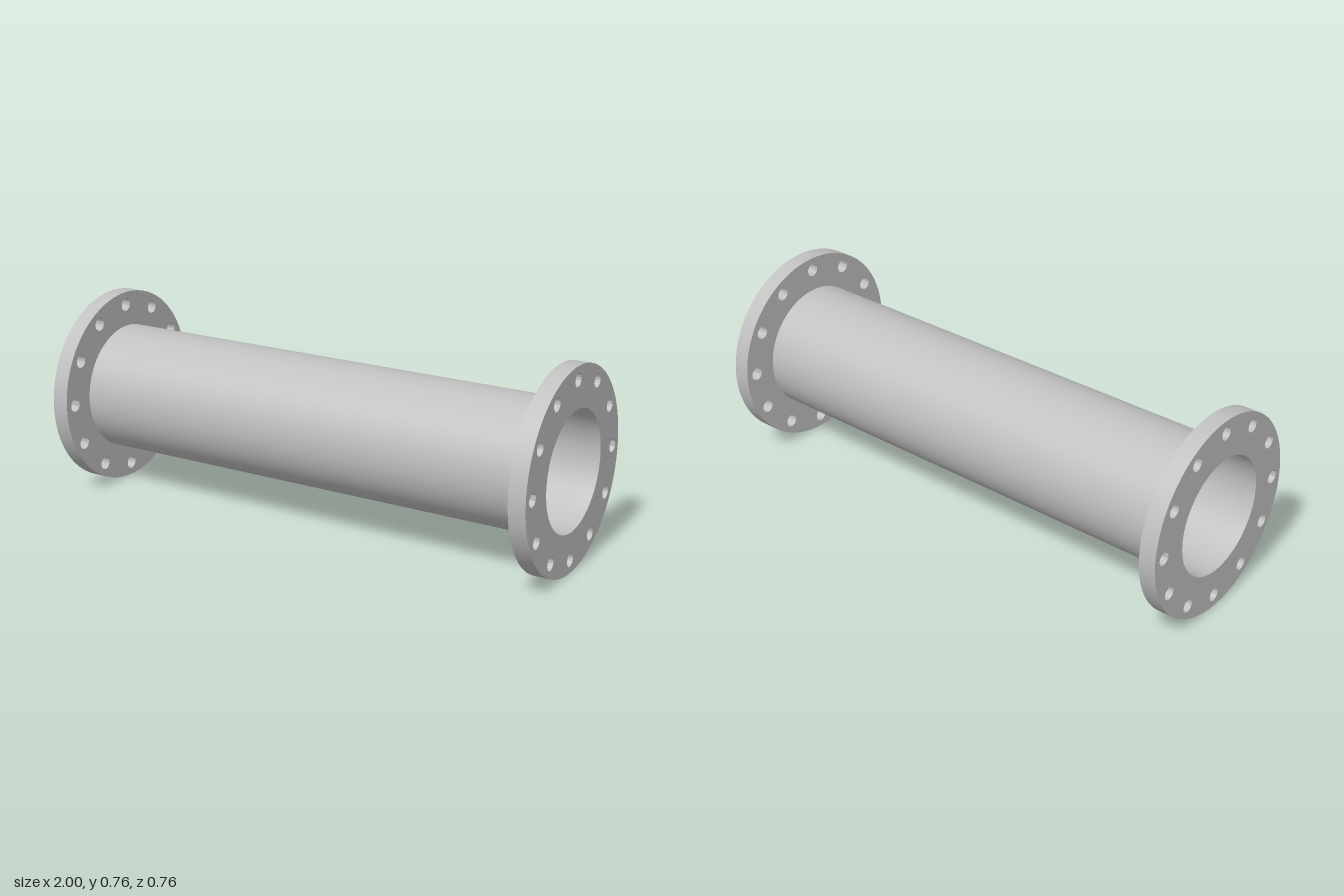
import * as THREE from 'three';
import { toCreasedNormals } from 'three/addons/utils/BufferGeometryUtils.js';

const HALF = 1;            // half length of the spool
const FLANGE_R = 0.378;
const FLANGE_T = 0.065;
const PIPE_R = 0.243;
const BORE_R = 0.223;
const BOLT_CIRCLE = 0.328;
const BOLT_R = 0.025;
const BOLTS = 12;

function circle(PathType, x, y, r) {
  const path = new PathType();
  path.absarc(x, y, r, 0, Math.PI * 2, false);
  return path;
}

// Flat ring with a bore and a circle of bolt holes, extruded along +x
function flangeGeometry() {
  const shape = circle(THREE.Shape, 0, 0, FLANGE_R);
  shape.holes.push(circle(THREE.Path, 0, 0, BORE_R));
  for (let i = 0; i < BOLTS; i++) {
    const a = (i / BOLTS) * Math.PI * 2;
    shape.holes.push(circle(THREE.Path, Math.cos(a) * BOLT_CIRCLE, Math.sin(a) * BOLT_CIRCLE, BOLT_R));
  }
  const geo = new THREE.ExtrudeGeometry(shape, { depth: FLANGE_T, bevelEnabled: false, curveSegments: 48 });
  geo.rotateY(Math.PI / 2);
  return toCreasedNormals(geo, 0.6);
}

// Open cylindrical wall along x; faces outward, or inward when asked
function wallGeometry(radius, inward) {
  const h = (HALF - FLANGE_T) * (inward ? -1 : 1);
  const points = [new THREE.Vector2(radius, -h), new THREE.Vector2(radius, h)];
  return new THREE.LatheGeometry(points, 96).rotateZ(Math.PI / 2);
}

export function createModel() {
  const steel = new THREE.MeshStandardMaterial({ color: 0xc0c0c0 });
  steel.name = 'steel grey';

  const group = new THREE.Group();
  group.name = 'flangedPipe';

  const add = (name, geometry, x = 0) => {
    const mesh = new THREE.Mesh(geometry, steel);
    mesh.name = name;
    mesh.position.set(x, FLANGE_R, 0);
    group.add(mesh);
  };

  // Pipe wall, outside and inside
  add('pipeOuterWall', wallGeometry(PIPE_R, false));
  add('pipeBore', wallGeometry(BORE_R, true));

  // End flanges
  const flange = flangeGeometry();
  add('rightFlange', flange, -HALF);
  add('leftFlange', flange, HALF - FLANGE_T);

  return group;
}
